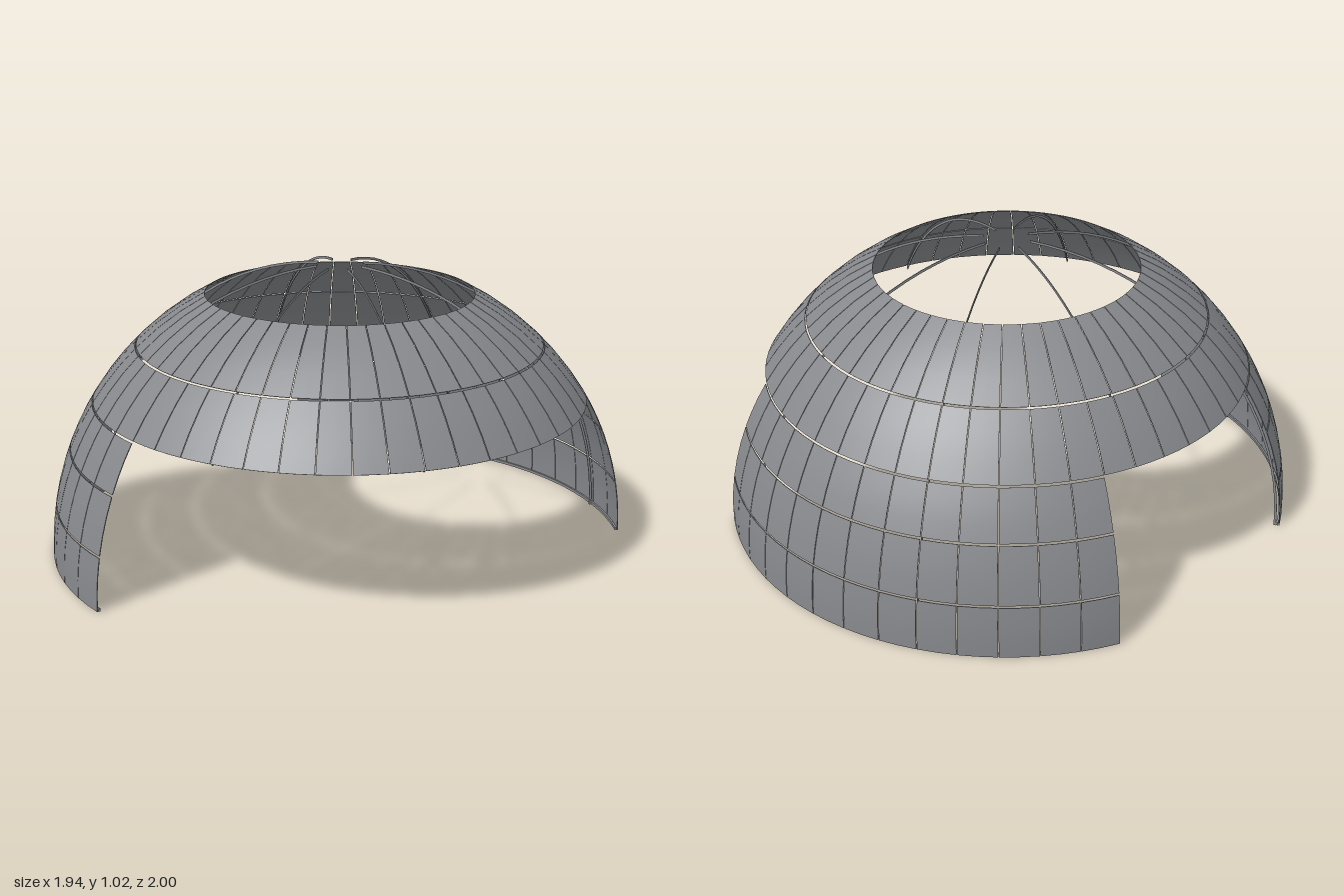
import * as THREE from 'three';
import { mergeGeometries } from 'three/addons/utils/BufferGeometryUtils.js';

const R = 1.04;                       // outer radius of the dome
const SKIN = 0.003;                   // panel thickness
const DEG = Math.PI / 180;
const STEP = 7.5;                     // width of one panel column, in degrees
const GAP = 0.2;                      // half the gap between rows, in degrees
const elevations = [0, 10.5, 22, 32.3, 46.1, 62.8]; // panel row limits
const sectors = [[30, 127.5], [180, 247.5]];        // where the lower wall stands

// Curved slab on a sphere: radii r0..r1, elevations e0..e1, azimuths a0..a1.
// trim is a constant width removed from the sides (negative adds width).
function slab(r0, r1, e0, e1, a0, a1, trim, ne, na) {
  const g = new THREE.BoxGeometry(1, 1, 1, na, ne, 1);
  const p = g.attributes.position;
  for (let i = 0; i < p.count; i++) {
    const e = (e0 + (p.getY(i) + 0.5) * (e1 - e0)) * DEG;
    const r = p.getZ(i) > 0 ? r1 : r0;
    const a = (a0 + a1) / 2 * DEG + p.getX(i) * ((a1 - a0) * DEG - trim / (R * Math.cos(e)));
    p.setXYZ(i, r * Math.cos(e) * Math.cos(a), r * Math.sin(e), -r * Math.cos(e) * Math.sin(a));
  }
  g.computeVertexNormals();
  return g;
}

export function createModel() {
  const model = new THREE.Group();
  model.name = 'openDome';
  const dome = new THREE.Group();
  dome.name = 'dome';
  dome.position.set(0.07, 0, 0.04);
  model.add(dome);

  const metalGrey = new THREE.MeshStandardMaterial({ color: 0x86888c });
  metalGrey.name = 'metalGrey';

  const add = (name, geometries) => {
    const mesh = new THREE.Mesh(mergeGeometries(geometries), metalGrey);
    mesh.name = name;
    dome.add(mesh);
  };

  // Panel rows: three lower rows only in the wall sectors, two full upper rows
  for (let row = 0; row < 5; row++) {
    const low = elevations[row] + (row === 0 ? 0 : GAP);
    const high = elevations[row + 1] - (row === 4 ? 0 : GAP);
    const panels = [];
    for (const [from, to] of row < 3 ? sectors : [[0, 360]]) {
      for (let a = from; a < to; a += STEP) {
        panels.push(slab(R - SKIN, R, low, high, a, a + STEP, 0.003, 3, 2));
      }
    }
    add(row < 3 ? `wallRow${row + 1}` : `roofRow${row - 2}`, panels);
  }

  // Thin meridian ribs inside the shell, reaching the ground where a wall stands
  const ribs = [];
  for (let a = 0; a < 360; a += 45) {
    const grounded = sectors.some(([from, to]) => a >= from && a <= to);
    ribs.push(slab(R - 0.021, R - 0.012, grounded ? 0 : elevations[3] + GAP, 85.2, a, a, -0.003, 24, 1));
  }
  add('ribs', ribs);

  // Slim base rails inside the foot of the wall sectors
  add('baseRails', sectors.map(([from, to]) =>
    slab(R - 0.012, R - 0.005, 0, 0.6, from, to, 0, 1, 26)));

  return model;
}
